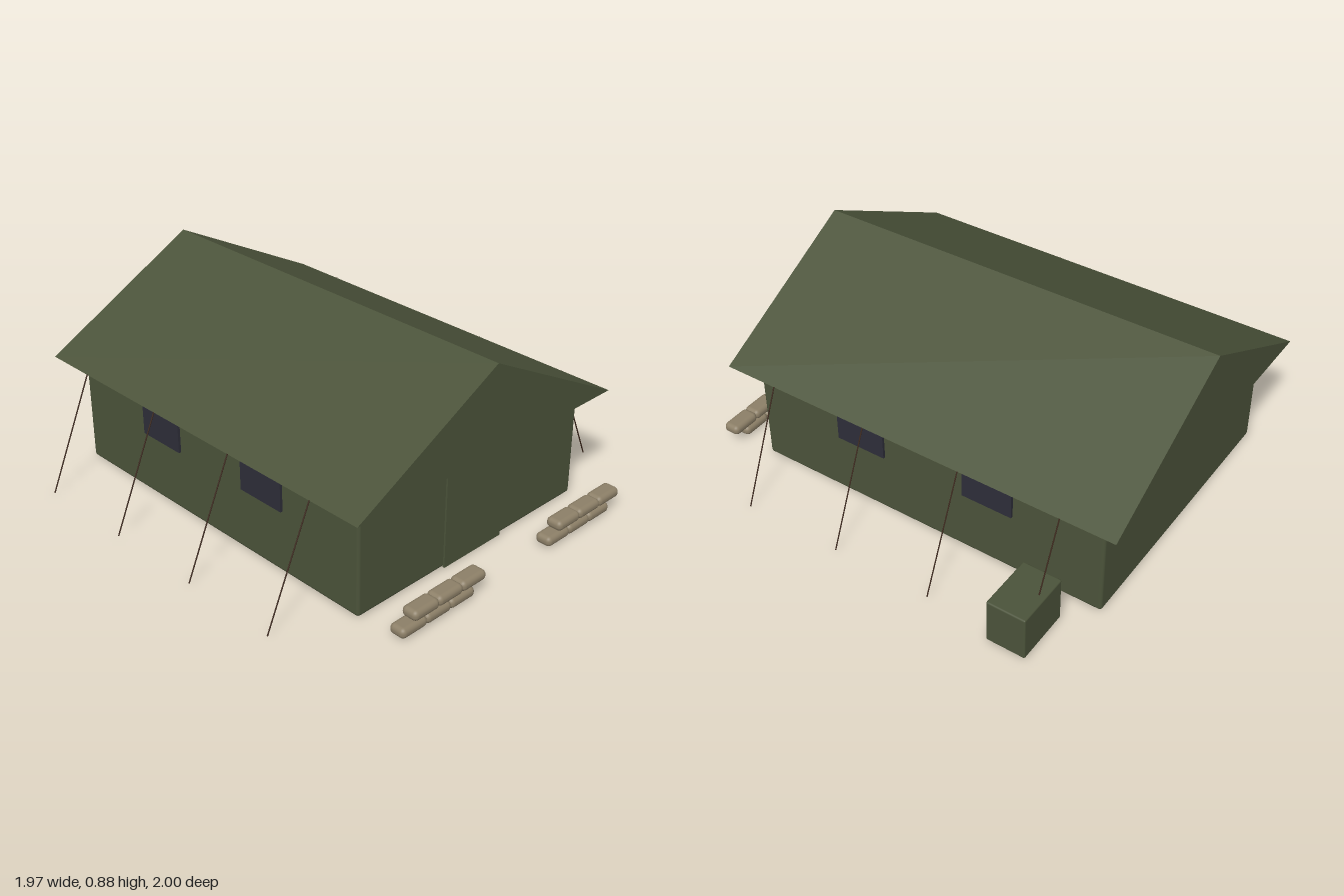
import * as THREE from 'three';
import { RoundedBoxGeometry } from 'three/addons/geometries/RoundedBoxGeometry.js';

const material = (name, color) => {
  const m = new THREE.MeshStandardMaterial({ color });
  m.name = name;
  return m;
};

export function createModel() {
  const model = new THREE.Group();
  model.name = 'tentCamp';
  const canvas = material('olive canvas', 0x4b533a);
  const glass = material('dark window', 0x2e2e39);
  const ropeMat = material('dark rope', 0x3a2519);
  const sack = material('sandbag cloth', 0x8c7f67);

  const CX = -0.0275; // tent centre line

  const add = (name, geometry, mat, x = 0, y = 0, z = 0) => {
    const mesh = new THREE.Mesh(geometry, mat);
    mesh.name = name;
    mesh.position.set(x, y, z);
    model.add(mesh);
    return mesh;
  };

  // box given by its limits, with rounded edges when r > 0
  const box = (name, mat, [x0, x1], [y0, y1], [z0, z1], r = 0, seg = 2) => {
    const w = x1 - x0, h = y1 - y0, d = z1 - z0;
    const geo = r ? new RoundedBoxGeometry(w, h, d, seg, r) : new THREE.BoxGeometry(w, h, d);
    return add(name, geo, mat, (x0 + x1) / 2, (y0 + y1) / 2, (z0 + z1) / 2);
  };

  // walls
  box('walls', canvas, [-0.67, 0.615], [0.005, 0.502], [-0.905, 0.78], 0.014);

  // solid gable roof with overhanging eaves
  const gable = new THREE.Shape();
  gable.moveTo(-0.7375, 0.498);
  gable.lineTo(0.7375, 0.498);
  gable.lineTo(0, 0.886);
  gable.closePath();
  add('roof', new THREE.ExtrudeGeometry(gable, { depth: 1.868, bevelEnabled: false }), canvas, CX, 0, -1);

  // door flap
  box('doorFlap', canvas, [-0.195, 0.142], [0.005, 0.443], [0.779, 0.788]);

  for (const side of [-1, 1]) {
    // side windows
    for (const z of [0.248, -0.376]) {
      const x = CX + side * 0.648;
      box('sideWindow', glass, [x - 0.006, x + 0.006], [0.29, 0.42], [z - 0.117, z + 0.117]);
    }
    // guy ropes from the eaves to the ground
    for (const z of [0.62, 0.16, -0.3, -0.76]) {
      const path = new THREE.LineCurve3(
        new THREE.Vector3(CX + side * 0.737, 0.5, z),
        new THREE.Vector3(CX + side * 0.956, 0.003, z));
      add('guyRope', new THREE.TubeGeometry(path, 1, 0.003, 6), ropeMat);
    }
  }

  // supply crate
  box('supplyCrate', canvas, [0.725, 0.98], [0.005, 0.21], [-0.79, -0.615], 0.007);

  // two stacked rows of three sandbags on each side of the entrance
  const rows = [[-0.655, 0], [-0.59, 1], [0.2, 0], [0.265, 1]];
  for (const [start, level] of rows) {
    for (let i = 0; i < 3; i++) {
      const x = start + i * 0.133;
      const y = 0.008 + level * 0.046;
      box('sandbag', sack, [x, x + 0.139], [y, y + 0.046], [0.922, 1], 0.021, 4);
    }
  }

  return model;
}
